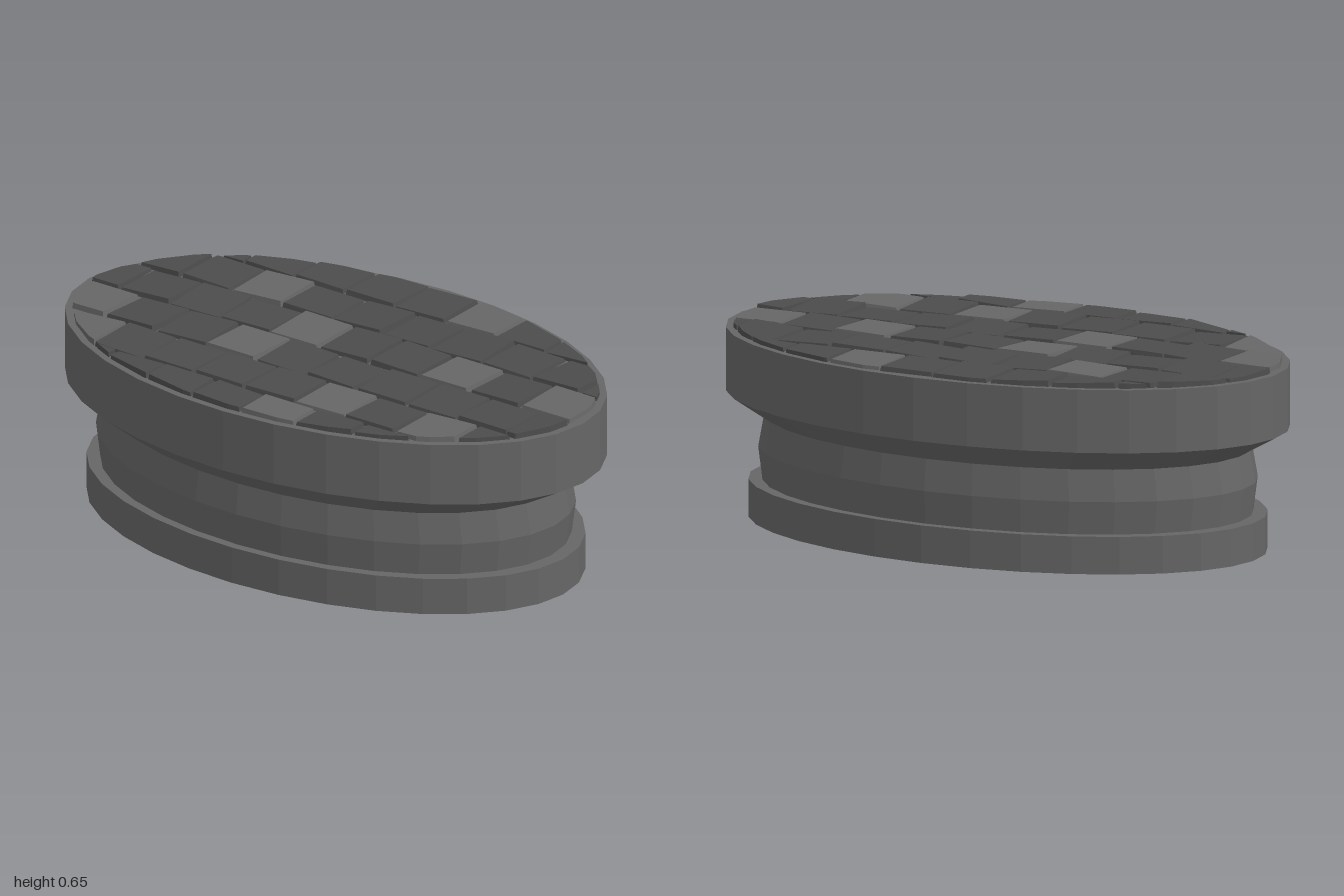
import * as THREE from 'three';

const RX = 0.615; // ellipse half-width for a half-length of 1
const SIDES = 32;

// small seeded generator, returns -1..1
function makeJitter(seed) {
  let s = seed;
  return () => {
    s = (s * 16807) % 2147483647;
    return (s / 2147483647) * 2 - 1;
  };
}

// keep the part of a polygon lying inside a convex counter-clockwise outline
function clip(poly, outline) {
  let out = poly;
  outline.forEach((a, i) => {
    const b = outline[(i + 1) % outline.length];
    const side = (p) => (b.x - a.x) * (p.y - a.y) - (b.y - a.y) * (p.x - a.x);
    const next = [];
    out.forEach((p, j) => {
      const q = out[(j + 1) % out.length];
      const sp = side(p), sq = side(q);
      if (sp >= 0) next.push(p);
      if ((sp >= 0) !== (sq >= 0)) next.push(p.clone().lerp(q, sp / (sp - sq)));
    });
    out = next;
  });
  return out;
}

// paving stone: prism with a slightly smaller, tilted top
function stoneGeometry(poly, height, tiltX, tiltZ) {
  const c = new THREE.Vector2();
  poly.forEach((p) => c.addScaledVector(p, 1 / poly.length));
  const geo = new THREE.ExtrudeGeometry(new THREE.Shape(poly), { depth: 1, bevelEnabled: false });
  geo.rotateX(-Math.PI / 2);
  const pos = geo.attributes.position;
  for (let i = 0; i < pos.count; i++) {
    const dx = pos.getX(i) - c.x, dz = pos.getZ(i) + c.y;
    if (pos.getY(i) > 0.5) {
      pos.setXYZ(i, c.x + dx * 0.94, height + dx * tiltX + dz * tiltZ, -c.y + dz * 0.94);
    } else {
      pos.setY(i, 0.615);
    }
  }
  geo.computeVertexNormals();
  return geo;
}

export function createModel() {
  const model = new THREE.Group();
  model.name = 'pavedPedestal';
  const stoneMat = new THREE.MeshStandardMaterial({ color: 0x666666, flatShading: true });
  const darkMat = new THREE.MeshStandardMaterial({ color: 0x4c4c4c, flatShading: true });

  // elliptical pedestal: foot, bulging waist, flared top slab
  const profile = [
    [0, 0], [0.92, 0], [0.92, 0.125], [0.87, 0.125], [0.885, 0.235],
    [0.865, 0.34], [1, 0.415], [1, 0.625], [0, 0.625],
  ].map(([r, y]) => new THREE.Vector2(r, y));
  const bodyGeo = new THREE.LatheGeometry(profile, SIDES);
  bodyGeo.scale(RX, 1, 1);
  const body = new THREE.Mesh(bodyGeo, stoneMat);
  body.name = 'pedestal';
  model.add(body);

  // paving clipped to an ellipse just inside the rim
  const paving = new THREE.Group();
  paving.name = 'paving';
  const outline = [];
  for (let i = 0; i < SIDES; i++) {
    const a = (i / SIDES) * Math.PI * 2;
    outline.push(new THREE.Vector2(Math.cos(a) * 0.592, Math.sin(a) * 0.975));
  }
  const jitter = makeJitter(4217);
  const pitch = 0.203, half = 0.099;
  // rows holding a lighter stone, per column
  const light = [[0], [-4, 1, 3], [-5, -2], [-1, 2, 4], [-3], [1]];
  for (let col = 0; col < 6; col++) {
    const cx = -0.545 + col * 0.205;
    const start = col % 2 ? -0.05 : 0.05;
    for (let row = -5; row <= 4; row++) {
      const cz = start + (row + 0.5) * pitch;
      const turn = jitter() * 0.04;
      const tiltX = jitter() * 0.04, tiltZ = jitter() * 0.04;
      const height = 0.641 + jitter() * 0.003;
      const quad = [[-1, -1], [1, -1], [1, 1], [-1, 1]].map(([u, v]) =>
        new THREE.Vector2(u * half + jitter() * 0.003, v * half + jitter() * 0.003)
          .rotateAround(new THREE.Vector2(), turn)
          .add(new THREE.Vector2(cx, -cz)));
      const poly = clip(quad, outline);
      if (poly.length < 3 || Math.abs(THREE.ShapeUtils.area(poly)) < 0.0008) continue;
      const mat = light[col].includes(row) ? stoneMat : darkMat;
      const stone = new THREE.Mesh(stoneGeometry(poly, height, tiltX, tiltZ), mat);
      stone.name = 'pavingStone';
      paving.add(stone);
    }
  }
  model.add(paving);
  return model;
}
